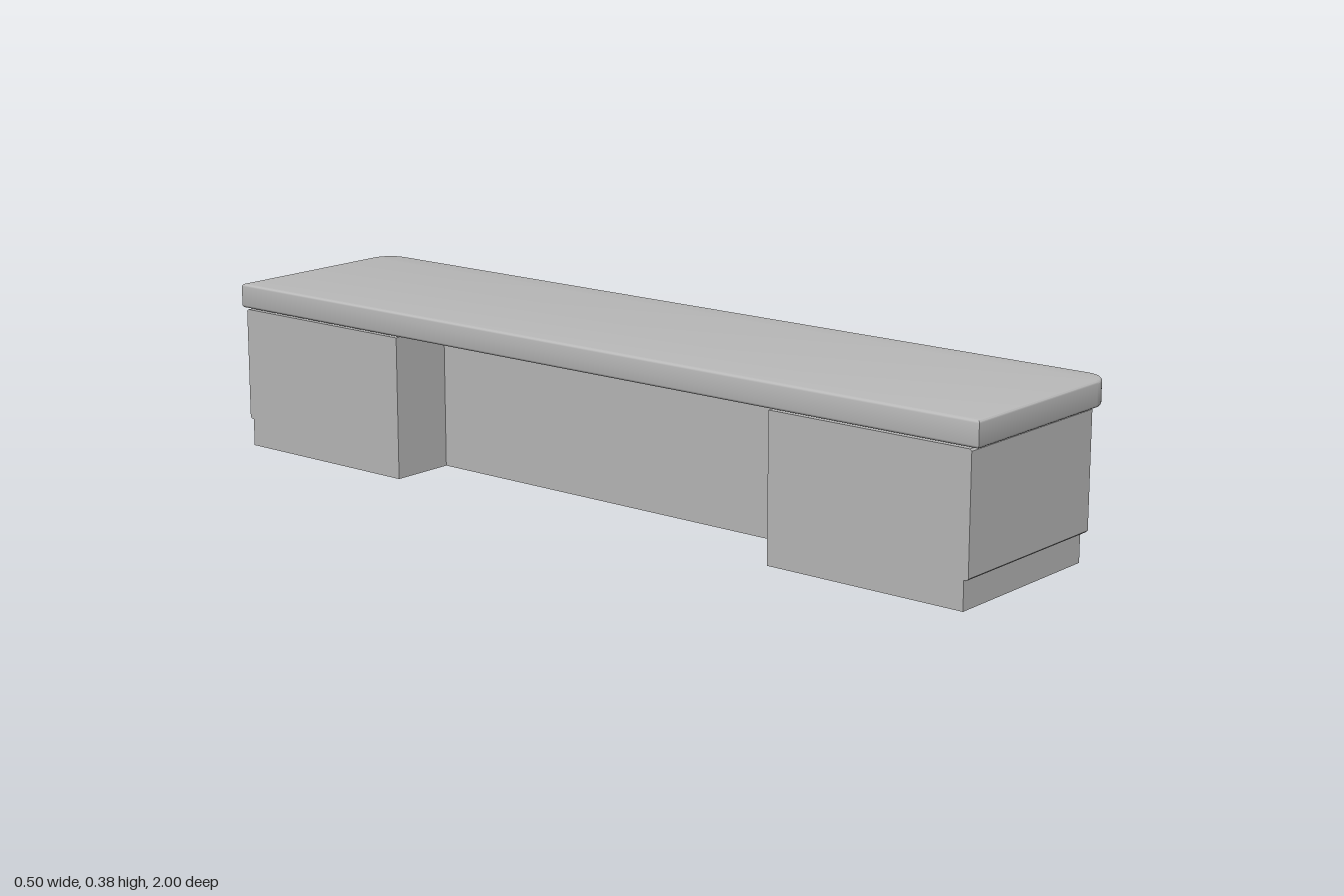
import * as THREE from 'three';
import { toCreasedNormals } from 'three/addons/utils/BufferGeometryUtils.js';

const grey = new THREE.MeshStandardMaterial({ color: 0xb8b8b8 });
const greySheet = new THREE.MeshStandardMaterial({ color: 0xb8b8b8, side: THREE.DoubleSide });
greySheet.name = 'greySheet';
grey.name = 'grey';

const BACK = -0.25, KNEE_X = -0.1, KNEE_Z = 0.51;

// U-shaped plan with a kneehole in the back: [x, -z], counter-clockwise from above
const plan = (front, end) => [
  [BACK, -end], [front, -end], [front, end], [BACK, end],
  [BACK, KNEE_Z], [KNEE_X, KNEE_Z], [KNEE_X, -KNEE_Z], [BACK, -KNEE_Z],
];

// Thin walls through a stack of [front, end, y] levels
function walls(levels) {
  const pos = [];
  for (let l = 0; l < levels.length - 1; l++) {
    const [f0, e0, y0] = levels[l], [f1, e1, y1] = levels[l + 1];
    const lo = plan(f0, e0), hi = plan(f1, e1);
    for (let i = 0; i < lo.length; i++) {
      const j = (i + 1) % lo.length;
      if (y0 === y1 && i > 2) continue; // the ledge runs round the front and ends only
      const a = [lo[i][0], y0, -lo[i][1]], b = [lo[j][0], y0, -lo[j][1]];
      const c = [hi[j][0], y1, -hi[j][1]], d = [hi[i][0], y1, -hi[i][1]];
      pos.push(...a, ...b, ...c, ...a, ...c, ...d);
    }
  }
  const g = new THREE.BufferGeometry();
  g.setAttribute('position', new THREE.Float32BufferAttribute(pos, 3));
  g.computeVertexNormals();
  return g;
}

function add(group, name, geometry, material = grey) {
  const mesh = new THREE.Mesh(geometry, material);
  mesh.name = name;
  group.add(mesh);
  return mesh;
}

export function createModel() {
  const model = new THREE.Group();
  model.name = 'counter';

  // Recessed plinth and body, hollow and open underneath
  add(model, 'plinth', walls([[0.163, 0.975, 0], [0.163, 0.975, 0.062]]), greySheet);
  add(model, 'body', walls([
    [0.163, 0.975, 0.062], [0.171, 0.981, 0.062], [0.175, 0.985, 0.066],
    [0.175, 0.985, 0.314], [0.171, 0.981, 0.318],
  ]), greySheet);
  const lid = new THREE.Shape(plan(0.171, 0.981).map(([x, y]) => new THREE.Vector2(x, y)));
  add(model, 'bodyLid', new THREE.ShapeGeometry(lid).rotateX(-Math.PI / 2), greySheet).position.y = 0.318;

  // Worktop: rounded front corners, softly bevelled edges
  const bevel = 0.006, r = 0.05;
  const x0 = BACK + bevel, x1 = 0.223 - bevel, e = 1 - bevel;
  const top = new THREE.Shape();
  top.moveTo(x0, -e);
  top.lineTo(x1 - r, -e);
  top.absarc(x1 - r, -e + r, r, -Math.PI / 2, 0, false);
  top.lineTo(x1, e - r);
  top.absarc(x1 - r, e - r, r, 0, Math.PI / 2, false);
  top.lineTo(x0, e);
  const topGeo = new THREE.ExtrudeGeometry(top, {
    depth: 0.055 - 2 * bevel, bevelEnabled: true, bevelSize: bevel,
    bevelThickness: bevel, bevelSegments: 3, curveSegments: 10,
  }).rotateX(-Math.PI / 2);
  add(model, 'worktop', toCreasedNormals(topGeo, 0.6)).position.y = 0.32 + bevel;

  // Front rail: chamfered bar on two triangular brackets
  const rail = new THREE.Group();
  rail.name = 'rail';
  rail.position.z = 0.005;
  model.add(rail);
  const c = 0.01;
  const bar = new THREE.Shape([
    [0.173, 0.236 + c], [0.173 + c, 0.236], [0.238, 0.236], [0.248, 0.236 + c],
    [0.248, 0.275 - c], [0.238, 0.275], [0.173 + c, 0.275], [0.173, 0.275 - c],
  ].map(([x, y]) => new THREE.Vector2(x, y)));
  const barGeo = new THREE.ExtrudeGeometry(bar, {
    depth: 0.86, bevelEnabled: true, bevelSize: 0.006, bevelOffset: -0.006,
    bevelThickness: 0.006, bevelSegments: 2,
  });
  add(rail, 'railBar', barGeo).position.z = -0.43;

  const gusset = new THREE.Shape([
    [0.17, 0.211], [0.178, 0.211], [0.228, 0.239], [0.17, 0.239],
  ].map(([x, y]) => new THREE.Vector2(x, y)));
  const gussetGeo = new THREE.ExtrudeGeometry(gusset, {
    depth: 0.014, bevelEnabled: true, bevelSize: 0.006, bevelOffset: -0.006,
    bevelThickness: 0.006, bevelSegments: 3,
  }).translate(0, 0, -0.007);
  for (const side of [1, -1]) add(rail, 'railBracket', gussetGeo).position.z = side * 0.412;

  return model;
}
